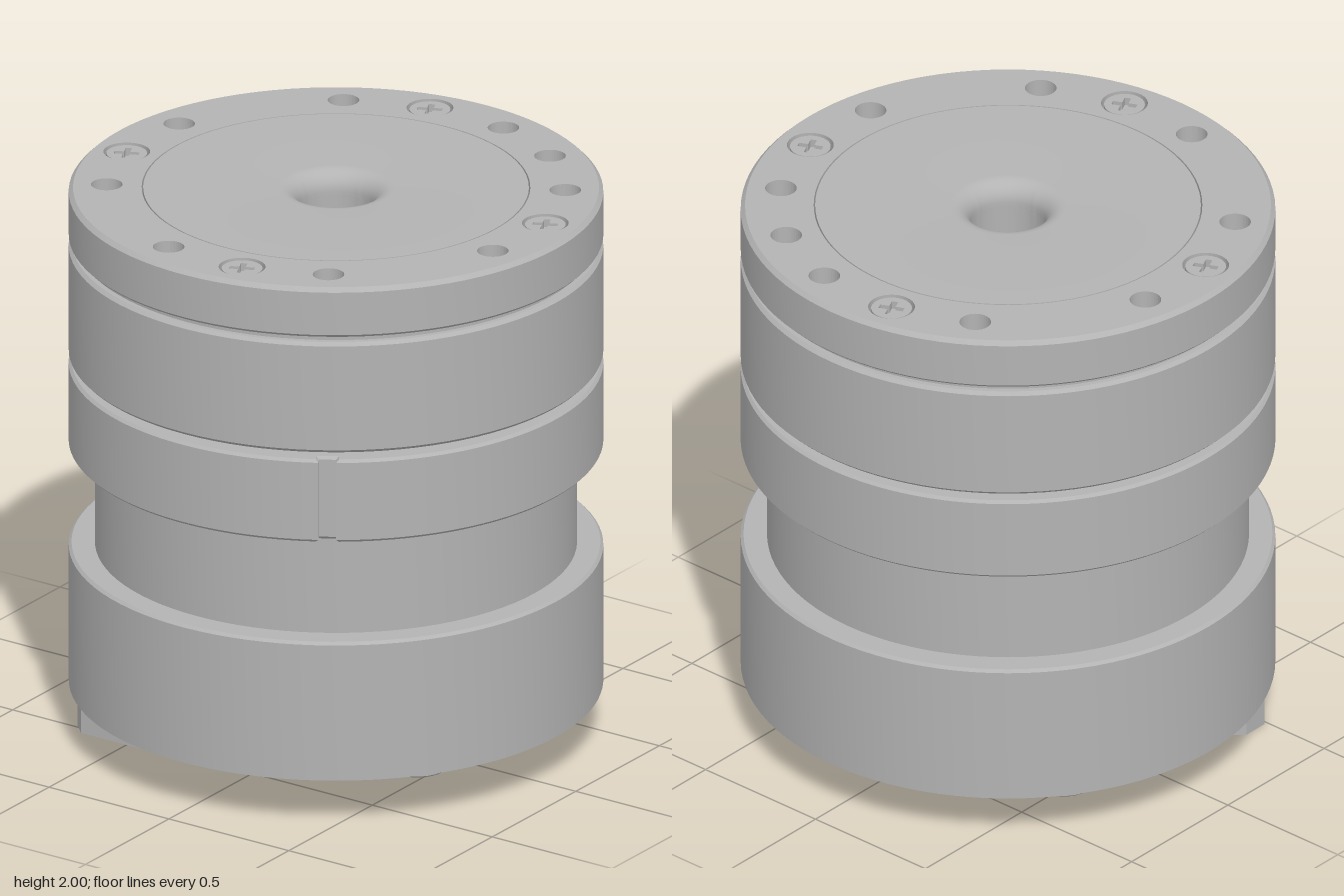
import * as THREE from 'three';
import { toCreasedNormals } from 'three/addons/utils/BufferGeometryUtils.js';

const SEG = 96;
const rad = THREE.MathUtils.degToRad;
const grey = new THREE.MeshStandardMaterial({ color: 0xb3b3b3 });
grey.name = 'machined grey';

export function createModel() {
  const model = new THREE.Group();
  model.name = 'actuator';

  function add(name, geometry, x = 0, y = 0, z = 0, parent = model) {
    const mesh = new THREE.Mesh(geometry, grey);
    mesh.name = name;
    mesh.position.set(x, y, z);
    parent.add(mesh);
    return mesh;
  }
  // Closed [radius, y] section: up the outside, down the inside
  function turned(points, segments = SEG) {
    const loop = [...points, points[0]].map(([r, y]) => new THREE.Vector2(r, y));
    return toCreasedNormals(new THREE.LatheGeometry(loop, segments), 0.4);
  }
  // Ring section with chamfered outer edges
  const ring = (inner, outer, y0, y1, c = 0.012, segments = SEG) => turned([
    [inner, y0], [outer - c, y0], [outer, y0 + c], [outer, y1 - c], [outer - c, y1], [inner, y1],
  ], segments);
  const disc = (r, x = 0, y = 0) => new THREE.Shape().absarc(x, y, r, 0, Math.PI * 2);
  // Flat outline (shape y becomes -z) raised from y0 to y1
  function slab(shape, y0, y1, curveSegments = 48, bevel = 0) {
    const g = new THREE.ExtrudeGeometry(shape, {
      depth: y1 - y0 - 2 * bevel, curveSegments, bevelEnabled: bevel > 0,
      bevelSize: bevel, bevelThickness: bevel, bevelOffset: -bevel, bevelSegments: 1,
    });
    g.rotateX(-Math.PI / 2).translate(0, y0 + bevel, 0);
    return toCreasedNormals(g, 0.4);
  }
  const polar = (r, deg) => [r * Math.cos(rad(deg)), r * Math.sin(rad(deg))];

  // Base housing, hollow below to take the circuit board
  add('baseHousing', turned([
    [0.885, 0.18], [0.915, 0.18], [0.915, 0.68], [0.905, 0.69], [0.13, 0.69], [0.13, 0.4], [0.885, 0.4],
  ]));
  add('neck', ring(0.13, 0.825, 0.69, 1.07, 0));

  // Flange with a keying notch in its rim
  const notch = -57, half = 1.9;
  const flange = new THREE.Shape();
  flange.absarc(0, 0, 0.915, rad(notch + half), rad(notch - half + 360), false);
  flange.lineTo(...polar(0.885, notch - half));
  flange.lineTo(...polar(0.885, notch + half));
  flange.closePath();
  flange.holes.push(disc(0.14));
  add('notchedFlange', slab(flange, 1.06, 1.365, SEG, 0.01));

  add('shaft', ring(0.13, 0.185, 1.3, 1.45, 0));
  add('gearHousing', ring(0.13, 0.915, 1.39, 1.798));
  add('grooveRing', ring(0.13, 0.885, 1.79, 1.83, 0));

  // Output flange: outer rim, drilled face and central hub
  const innerHub = 0.66;
  add('outputRim', turned([
    [0.88, 1.818], [0.905, 1.818], [0.915, 1.828], [0.915, 1.985], [0.9, 2], [0.9, 1.9], [0.88, 1.9],
  ]));
  add('outputCore', ring(0.13, 0.9, 1.82, 1.92, 0));
  const face = disc(0.9);
  face.holes.push(disc(innerHub + 0.005));
  const holeAngles = [33, 56, 78, 123, 168, 213, 258, 303, 348];
  const screwAngles = [0, 1, 2, 3].map((i) => 10.7 + i * 90);
  holeAngles.forEach((a) => face.holes.push(disc(0.054, ...polar(0.785, a))));
  screwAngles.forEach((a) => face.holes.push(disc(0.08, ...polar(0.785, a))));
  add('drilledFace', slab(face, 1.9, 2));

  // Hub with a rounded mouth to the bore
  const hub = [[0.13, 1.9], [innerHub, 1.9], [innerHub, 2]];
  for (let i = 0; i <= 8; i++) {
    const t = (i / 8) * Math.PI / 2;
    hub.push([0.2 - 0.07 * Math.sin(t), 1.93 + 0.07 * Math.cos(t)]);
  }
  add('outputHub', turned(hub));

  // Cross-head screw, built at y = 0 facing up
  function screw(name, r, x, y, z) {
    const group = new THREE.Group();
    group.name = name;
    const a = r * 0.62, w = r * 0.16;
    const cross = new THREE.Path([
      [a, -w], [a, w], [w, w], [w, a], [-w, a], [-w, w], [-a, w], [-a, -w],
      [-w, -w], [-w, -a], [w, -a], [w, -w],
    ].map((p) => new THREE.Vector2(...p).rotateAround(new THREE.Vector2(), rad(25))));
    const head = disc(r);
    head.holes.push(cross);
    add('screwHead', slab(head, -0.03, 0, 16), 0, 0, 0, group);
    add('screwCore', new THREE.CylinderGeometry(r * 0.98, r * 0.98, 0.05, 24), 0, -0.054, 0, group);
    group.position.set(x, y, z);
    model.add(group);
    return group;
  }
  screwAngles.forEach((deg) => {
    const [x, y] = polar(0.785, deg);
    screw('outputScrew', 0.07, x, 1.995, -y);
  });

  // Circuit board with mounting bosses
  const board = disc(0.88);
  board.holes.push(disc(0.13));
  const bosses = [[0.46, -0.66], [0.66, 0.46], [-0.46, 0.66], [-0.66, -0.46]];
  bosses.forEach(([x, z]) => board.holes.push(disc(0.05, x, -z)));
  add('circuitBoard', slab(board, 0.187, 0.25));
  bosses.forEach(([x, z]) => add('mountingBoss', ring(0.05, 0.105, 0.167, 0.3, 0.006, 32), x, 0, z));
  add('boreBushing', ring(0.13, 0.165, 0.172, 0.45, 0.008, 48));

  // Board screws, facing down
  [44.6, 164.6, 284.6].forEach((deg) => {
    const [x, z] = polar(0.79, deg);
    screw('boardScrew', 0.045, x, 0.18, z).rotation.x = Math.PI;
  });

  // Box outline with an opening
  function socketShape(w, d, wall) {
    const rect = (P, a, b) => new P([[-a, -b], [a, -b], [a, b], [-a, b]].map((p) => new THREE.Vector2(...p)));
    const s = rect(THREE.Shape, w / 2, d / 2);
    s.holes.push(rect(THREE.Path, w / 2 - wall, d / 2 - wall));
    return s;
  }
  // Small signal sockets and the chip
  const sockets = [
    [0.73, -0.33, 60], [0.61, -0.52, 60], [-0.02, -0.61, 0], [-0.05, -0.77, 0], [0.69, 0.14, 90],
  ];
  for (const [x, z, deg] of sockets) {
    const group = new THREE.Group();
    group.name = 'signalSocket';
    add('socketShell', slab(socketShape(0.17, 0.12, 0.015), 0.17, 0.2), 0, 0, 0, group);
    for (const px of [-0.035, 0.035]) {
      add('socketPin', new THREE.BoxGeometry(0.025, 0.02, 0.05), px, 0.18, 0, group);
    }
    group.position.set(x, 0, z);
    group.rotation.y = rad(deg);
    model.add(group);
  }
  add('chip', new THREE.BoxGeometry(0.17, 0.02, 0.22), -0.34, 0.183, -0.28);

  // Twin power plugs, chamfered at the outer end
  const outline = (P, x0, x1, h, c) => new P([
    [x0 + c, -h], [x1, -h], [x1, h], [x0 + c, h], [x0, h - c], [x0, c - h],
  ].map((p) => new THREE.Vector2(...p)));
  [[0.24, -0.70], [0.44, -0.74]].forEach(([z, x0]) => {
    const plug = new THREE.Group();
    plug.name = 'powerPlug';
    const shell = outline(THREE.Shape, x0, -0.355, 0.096, 0.05);
    shell.holes.push(outline(THREE.Path, x0 + 0.022, -0.377, 0.074, 0.04));
    add('plugShell', slab(shell, 0, 0.19), 0, 0, 0, plug);
    add('plugFloor', slab(outline(THREE.Shape, x0 + 0.01, -0.365, 0.086, 0.045), 0.05, 0.18), 0, 0, 0, plug);
    for (const x of [x0 + 0.11, -0.45]) {
      add('plugContact', ring(0.022, 0.045, 0.012, 0.06, 0, 20), x, 0, 0, plug);
    }
    plug.position.z = z;
    model.add(plug);
  });

  return model;
}
